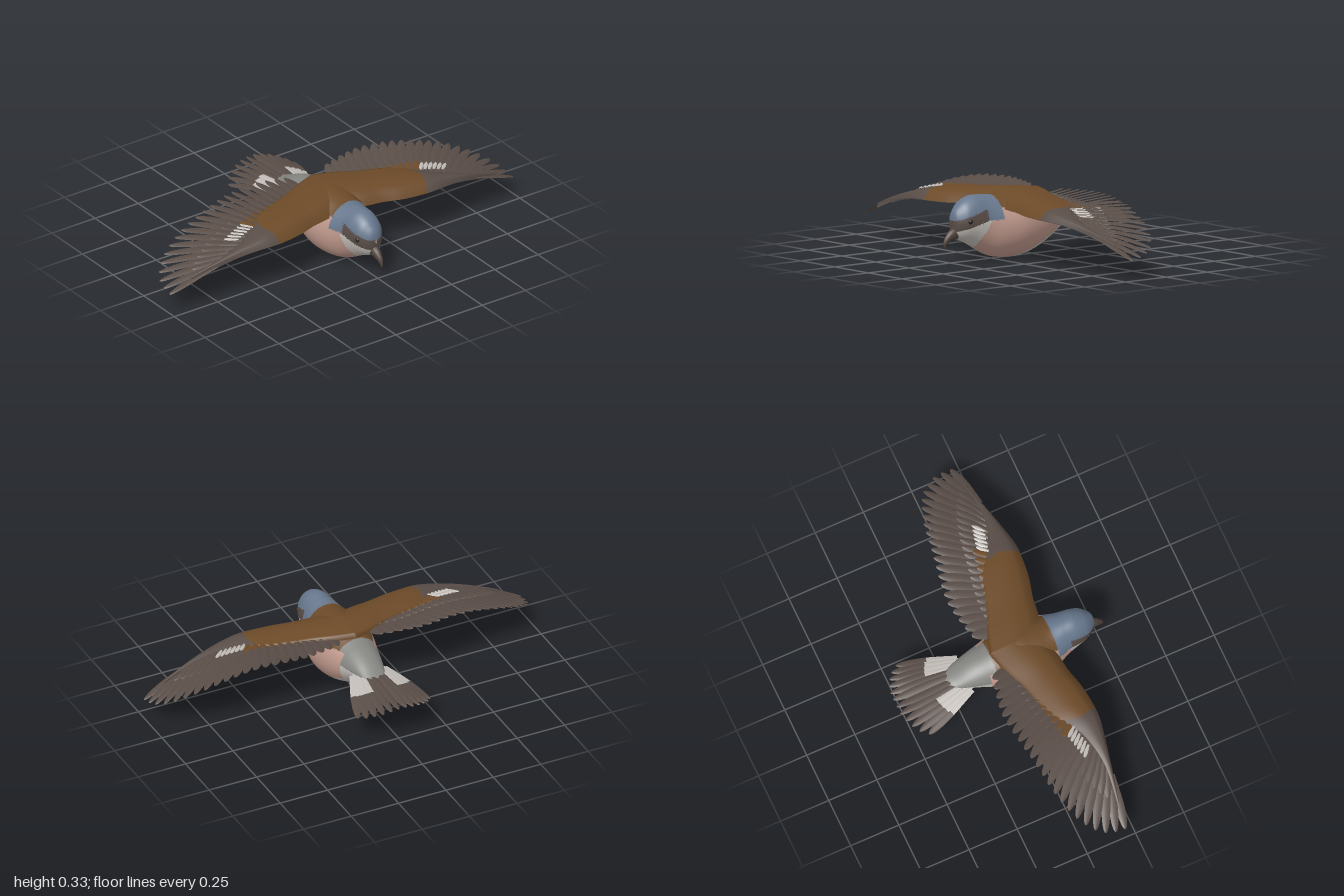
import * as THREE from 'three';
import { mergeGeometries } from 'three/addons/utils/BufferGeometryUtils.js';

const V2 = (x, y) => new THREE.Vector2(x, y);
const spline = pts => new THREE.SplineCurve(pts.map(p => V2(p[0], p[1])));
const lerp = THREE.MathUtils.lerp;

// Grid surface from fn(a, b) -> [x, y, z]; pick(centre, b) chooses the material group
function surface(na, nb, fn, pick) {
  const pos = [], groups = [];
  for (let i = 0; i <= na; i++) for (let j = 0; j <= nb; j++) pos.push(...fn(i / na, j / nb));
  for (let i = 0; i < na; i++) for (let j = 0; j < nb; j++) {
    const p = i * (nb + 1) + j, q = p + nb + 1;
    for (const tri of [[p, q, p + 1], [q, q + 1, p + 1]]) {
      const c = [0, 1, 2].map(k => tri.reduce((sum, n) => sum + pos[n * 3 + k], 0) / 3);
      const g = pick ? pick(c, (j + 0.5) / nb) : 0;
      (groups[g] ||= []).push(...tri);
    }
  }
  const geo = new THREE.BufferGeometry();
  geo.setAttribute('position', new THREE.Float32BufferAttribute(pos, 3));
  geo.setIndex(groups.flat());
  geo.computeVertexNormals();
  if (pick) {
    let start = 0;
    groups.forEach((g, k) => { geo.addGroup(start, g.length, k); start += g.length; });
  }
  return geo;
}

// Interpolates rows of [key, a, b, c] smoothly
function profile(rows) {
  const curves = [1, 2, 3].map(k => spline(rows.map(r => [r[0], r[k]])));
  return t => {
    const p = curves.map(c => c.getPoint(t));
    return [p[0].x, p[0].y, p[1].y, p[2].y];
  };
}

// Heights of the wing and tail sheets
const wingY = (x, z) =>
  0.257 - 0.162 * Math.pow(Math.max(0, (x - 0.45) / 0.55), 1.7) + 0.2 * (0.2 - z);
const tailY = (x, z) => 0.21 + (z + 0.25) * 0.05 - 0.05 * (x / 0.2) ** 2;

// One vane lying on a height sheet, rounded at the tip
function feather(side, base, tip, width, height, lift, t0 = 0, t1 = 1) {
  const dir = tip.clone().sub(base).normalize();
  return surface(12, 4, (a, b) => {
    const t = lerp(t0, t1, 1 - Math.pow(1 - a, 1.8)), u = b * 2 - 1;
    const w = width * Math.min(1, 0.55 + t * 0.8) * Math.sqrt(Math.max(0, 1 - t ** 5));
    const x = lerp(base.x, tip.x, t) - dir.y * u * w;
    const z = lerp(base.y, tip.y, t) + dir.x * u * w;
    return [side * x, height(x, z) + lift + 0.004 * (1 - u * u) + 0.2 * u * w, z];
  });
}

export function createModel() {
  const model = new THREE.Group();
  const mat = (name, color) => {
    const m = new THREE.MeshStandardMaterial({ color, side: THREE.DoubleSide });
    m.name = name;
    return m;
  };
  const cap = mat('blueGreyCap', 0x67778d);
  const brown = mat('chestnutBack', 0x6c4a28);
  const dark = mat('darkFeather', 0x594d47);
  const pink = mat('pinkBreast', 0xbf988b);
  const white = mat('paleFeather', 0xc0bbb6);
  const grey = mat('greyRump', 0x858582);
  const lining = mat('greyWingLining', 0x73716e);
  const horn = mat('darkBeak', 0x4f423c);
  const black = mat('eyeBlack', 0x2a2422);

  const add = (name, geo, material) => {
    const m = new THREE.Mesh(geo, material);
    m.name = name;
    model.add(m);
    return m;
  };

  // Body and head: [z, top, bottom, half width]
  const body = profile([
    [0.487, 0.205, 0.185, 0.003], [0.48, 0.24, 0.14, 0.03], [0.46, 0.268, 0.115, 0.052],
    [0.43, 0.295, 0.1, 0.072], [0.38, 0.315, 0.075, 0.085], [0.32, 0.314, 0.04, 0.098],
    [0.25, 0.31, 0.012, 0.125], [0.17, 0.322, 0.003, 0.146], [0.1, 0.33, 0.006, 0.147],
    [0.02, 0.322, 0.028, 0.135], [-0.06, 0.296, 0.066, 0.112], [-0.12, 0.28, 0.105, 0.095],
    [-0.18, 0.257, 0.14, 0.078], [-0.24, 0.225, 0.168, 0.058], [-0.285, 0.207, 0.188, 0.03],
    [-0.295, 0.2, 0.195, 0.002],
  ]);
  const plumage = ([, y, z]) => {
    const maskLine = lerp(0.225, 0.178, (z - 0.34) / 0.14);
    if (z > 0.335 && Math.abs(y - maskLine) < 0.027) return 2;
    if (z > 0.26 && y > 0.2) return 0;
    if (z > 0.37 - 0.5 * Math.max(0, y - 0.1)) return 4;
    if (z < -0.05 && y > 0.255) return 5;
    if (z < -0.085 + 2.1 * Math.max(0, 0.12 - y)) return y > 0.2 ? 5 : 4;
    return y > 0.255 ? 1 : 3;
  };
  add('body', surface(150, 96, (a, b) => {
    const [z, top, bottom, w] = body(a), ang = b * Math.PI * 2;
    return [w * Math.sin(ang), (top + bottom) / 2 + (top - bottom) / 2 * Math.cos(ang), z];
  }, plumage), [cap, brown, dark, pink, white, grey]);

  // Hooked beak: [z, y, radius]
  const beakRows = [[0.45, 0.147, 0.03], [0.485, 0.136, 0.027], [0.51, 0.12, 0.019],
    [0.526, 0.102, 0.012], [0.532, 0.085, 0.006], [0.528, 0.069, 0.001]];
  const beakPath = spline(beakRows);
  const beakRadius = spline(beakRows.map((r, i) => [i, r[2]]));
  add('beak', surface(24, 20, (a, b) => {
    const p = beakPath.getPoint(a), d = beakPath.getTangent(a), r = beakRadius.getPoint(a).y;
    const c = Math.cos(b * Math.PI * 2) * r, s = Math.sin(b * Math.PI * 2) * r;
    return [s * 0.85, p.y + c * d.x, p.x - c * d.y];
  }), horn);

  // Wing arm: [x, leading z, trailing z, thickness]
  const arm = profile([
    [0, 0.22, -0.05, 0.04], [0.1, 0.25, -0.02, 0.04], [0.2, 0.265, 0.02, 0.036],
    [0.3, 0.29, 0.05, 0.034], [0.4, 0.302, 0.09, 0.03], [0.47, 0.303, 0.14, 0.024],
    [0.55, 0.29, 0.19, 0.016], [0.7, 0.26, 0.225, 0.008], [0.88, 0.222, 0.21, 0.003],
  ]);
  const roots = spline([[0.08, 0.12], [0.25, 0.16], [0.45, 0.2], [0.6, 0.235], [0.75, 0.243]]);
  const tips = spline([[0.12, -0.09], [0.2, -0.11], [0.32, -0.127], [0.45, -0.11], [0.6, -0.08],
    [0.72, -0.06], [0.82, -0.03], [0.9, 0.01], [0.96, 0.065], [0.99, 0.125], [0.995, 0.2]]);

  for (const side of [1, -1]) {
    const label = side > 0 ? 'left' : 'right';

    add(label + 'WingArm', surface(70, 48, (a, b) => {
      const [x, lead, trail, th] = arm(a), upper = b < 0.5;
      const s = upper ? b * 2 : 2 - b * 2;
      const z = lerp(lead, trail, s), bulge = th * Math.sin(Math.PI * Math.pow(s, 0.7));
      const off = upper ? 0.012 * Math.min(1, s * 6) + bulge
        : -0.006 * Math.min(1, s * 6) - 0.35 * bulge;
      return [side * x, wingY(x, z) + off, z];
    }, ([x, , z], b) => b > 0.5 ? 2 : Math.abs(x) < 0.46 - 0.3 * Math.abs(z - 0.2) ? 0 : 1),
    [brown, dark, lining]);

    // A row of feathers along the wing, covering part of the root-to-tip span
    const row = (name, material, count, u0, u1, from, to, width, lift) => {
      const list = [];
      for (let i = 0; i < count; i++) {
        const u = lerp(u0, u1, i / (count - 1));
        const r = roots.getPointAt(u), t = tips.getPointAt(u);
        const w = lerp(width, width * 0.72, u);
        list.push(feather(side, r.clone().lerp(t, from), r.clone().lerp(t, to), w, wingY, lift));
      }
      add(label + name, mergeGeometries(list), material);
    };
    row('FlightFeathers', dark, 22, 0, 1, 0, 1, 0.031, 0);
    row('GreaterCoverts', dark, 20, 0.02, 0.92, 0.05, 0.52, 0.024, 0.008);
    row('BackCoverts', brown, 11, 0, 0.52, 0.1, 0.38, 0.024, 0.013);
    row('WingPatch', white, 6, 0.56, 0.71, 0.13, 0.31, 0.012, 0.019);
    row('UnderCoverts', lining, 20, 0, 0.88, 0, 0.58, 0.03, -0.012);
    row('UnderwingPatch', white, 6, 0.56, 0.71, 0.13, 0.31, 0.009, -0.019);

    // Tail fan, with pale bases on the outer feathers
    const tailTips = [[0.02, -0.543], [0.057, -0.54], [0.095, -0.53], [0.13, -0.512],
      [0.163, -0.488], [0.19, -0.452]];
    const fan = [], bases = [];
    tailTips.forEach(([x, z], i) => {
      const root = V2(0.008 + i * 0.016, -0.18), tip = V2(x, z);
      const split = i > 1 ? 0.5 : 0;
      const lift = -0.003 * i;
      fan.push(feather(side, root, tip, 0.023, tailY, lift, split, 1));
      if (split) bases.push(feather(side, root, tip, 0.023, tailY, lift, 0, split));
    });
    add(label + 'TailFeathers', mergeGeometries(fan), dark);
    add(label + 'TailBases', mergeGeometries(bases), white);

    add(label + 'Eye', new THREE.SphereGeometry(0.012, 16, 12), black)
      .position.set(side * 0.067, 0.2, 0.43);
  }
  return model;
}
